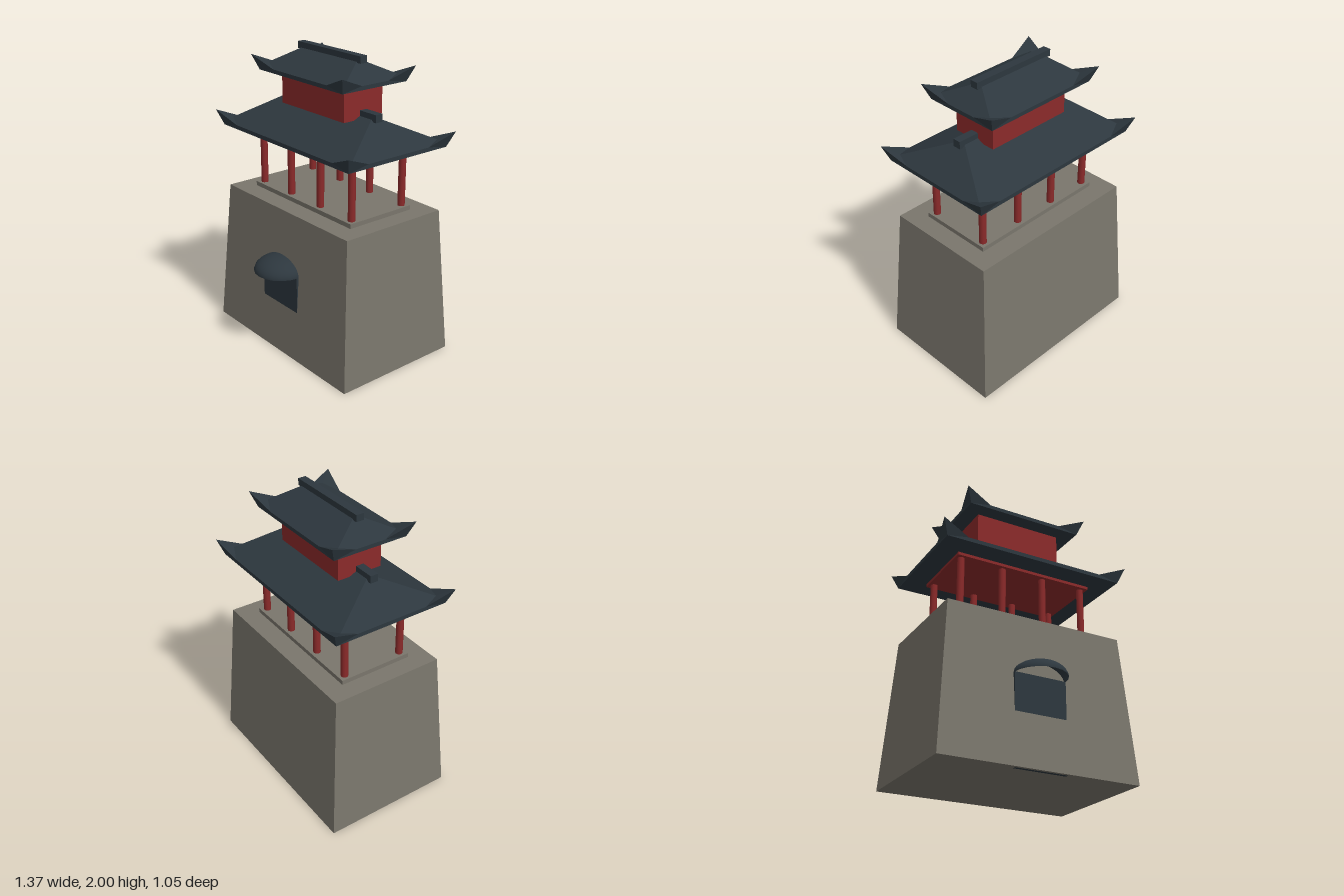
import * as THREE from 'three';

const material = (name, color) => {
  const m = new THREE.MeshStandardMaterial({ color });
  m.name = name;
  return m;
};

export function createModel() {
  const stone = material('stone', 0x7a766c);
  const redWood = material('red wood', 0x8b2a2a);
  const slate = material('dark slate', 0x2d373e);

  const model = new THREE.Group();
  model.name = 'gateTower';
  const tower = new THREE.Group();
  tower.name = 'tower';
  tower.position.z = -0.0725;
  model.add(tower);

  const add = (name, geometry, mat) => {
    const mesh = new THREE.Mesh(geometry, mat);
    mesh.name = name;
    tower.add(mesh);
    return mesh;
  };
  // Box given by its half width, bottom, top and half depth
  const box = (name, hx, y0, y1, hz, mat) => {
    const mesh = add(name, new THREE.BoxGeometry(hx * 2, y1 - y0, hz * 2), mat);
    mesh.position.y = (y0 + y1) / 2;
    return mesh;
  };

  // Hipped roof with a thin fascia and upturned corners, mirrored from one quarter
  const roof = (name, { a, b, y0, y1, ridgeX, ridgeY }) => {
    const V = (x, y, z) => new THREE.Vector3(x, y, z);
    const centre = V(0, y0, 0);
    const frontLow = V(0, y0, b), frontTop = V(0, y1, b);
    const sideLow = V(a, y0, 0), sideTop = V(a, y1, 0);
    const corner = V(a, y0, b), tip = V(a + 0.041, y1 + 0.075, b + 0.038);
    const eaveX = V(a - 0.148, y1, b), eaveZ = V(a, y1, b - 0.152);
    const ridgeMid = V(0, ridgeY, 0), ridgeEnd = V(ridgeX, ridgeY, 0);
    const hip = V(a, y1, b).lerp(ridgeEnd, 0.052 / b);
    const polygons = [
      [frontLow, corner, eaveX, frontTop], [corner, tip, eaveX],  // front fascia
      [corner, sideLow, sideTop, eaveZ], [corner, eaveZ, tip],    // side fascia
      [ridgeMid, frontTop, eaveX, hip, ridgeEnd],                 // front slope
      [ridgeEnd, hip, eaveZ, sideTop],                            // side slope
      [eaveX, tip, hip], [tip, eaveZ, hip],                       // upturned corner
      [centre, sideLow, corner, frontLow],                        // underside
    ];
    const points = [];
    for (const sx of [1, -1]) for (const sz of [1, -1]) {
      const mirror = V(sx, 1, sz);
      for (const p of polygons) {
        for (let i = 1; i < p.length - 1; i++) {
          const tri = [p[0], p[i], p[i + 1]];
          if (sx * sz < 0) tri.reverse();
          points.push(...tri.map((v) => v.clone().multiply(mirror)));
        }
      }
    }
    const geometry = new THREE.BufferGeometry().setFromPoints(points);
    geometry.computeVertexNormals();
    add(name, geometry, slate);
  };

  // Stone base tapering towards the top
  const baseGeo = new THREE.BoxGeometry(1.37, 1, 0.905).toNonIndexed();
  const pos = baseGeo.attributes.position;
  for (let i = 0; i < pos.count; i++) {
    if (pos.getY(i) > 0) {
      pos.setX(i, Math.sign(pos.getX(i)) * 0.62);
      pos.setZ(i, Math.sign(pos.getZ(i)) * 0.3875);
    }
  }
  baseGeo.computeVertexNormals();
  add('base', baseGeo, stone).position.y = 0.5;

  // Gate with a domed canopy
  box('gate', 0.18, 0, 0.597, 0.012, slate).position.z = 0.418;
  const domeMat = slate.clone();
  domeMat.side = THREE.DoubleSide;
  const dome = add('gateCanopy',
    new THREE.SphereGeometry(0.18, 20, 10, 0, Math.PI * 2, 0, Math.PI / 2), domeMat);
  dome.scale.y = 0.56;
  dome.position.set(0, 0.595, 0.418);

  // Open pavilion
  box('plinth', 0.495, 1, 1.03, 0.253, stone);
  box('ceilingBeam', 0.495, 1.41, 1.432, 0.253, redWood);
  for (let i = 0; i < 4; i++) for (const side of [1, -1]) {
    const column = add('column',
      new THREE.CylinderGeometry(0.024, 0.024, 0.39, 10), redWood);
    column.position.set(-0.455 + i * 0.3033, 1.22, side * 0.21);
  }
  roof('lowerRoof', { a: 0.642, b: 0.4, y0: 1.43, y1: 1.457, ridgeX: 0.4, ridgeY: 1.645 });
  box('lowerRidge', 0.455, 1.618, 1.668, 0.027, slate);

  // Upper storey
  box('upperStorey', 0.31, 1.61, 1.828, 0.156, redWood);
  roof('upperRoof', { a: 0.415, b: 0.258, y0: 1.826, y1: 1.852, ridgeX: 0.255, ridgeY: 1.975 });
  box('upperRidge', 0.307, 1.955, 2, 0.027, slate);

  return model;
}
